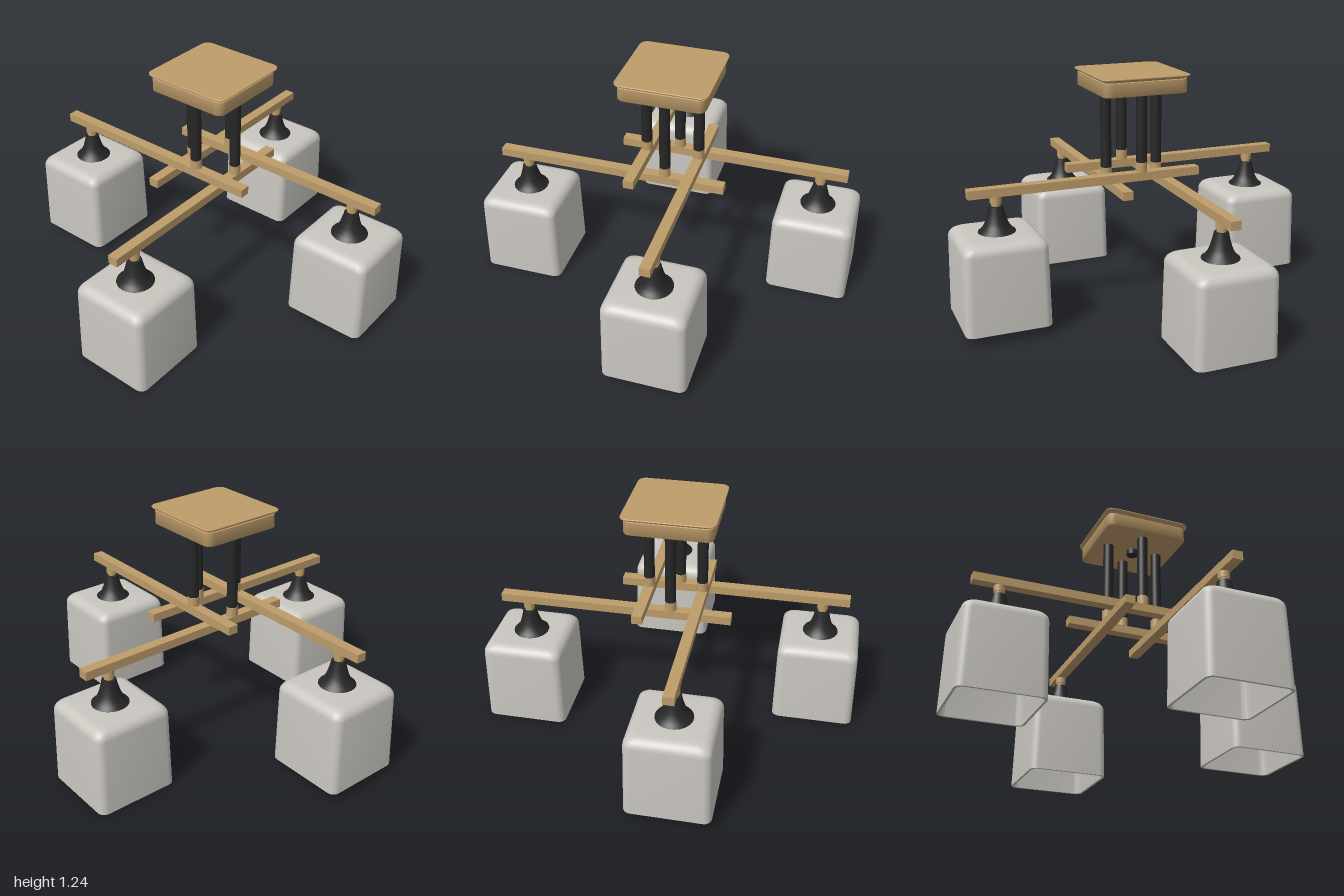
import * as THREE from 'three';
import { toCreasedNormals } from 'three/addons/utils/BufferGeometryUtils.js';

const mat = (name, color) => new THREE.MeshStandardMaterial({ name, color });

// Rounded-square loft; each section is [y, halfWidth, cornerRadius]
function loft(sections, crease = 0.6, steps = 6) {
  const pos = [], index = [], n = 4 * (steps + 1);
  for (const [y, half, r] of sections) {
    for (let corner = 0; corner < 4; corner++) {
      const mid = (corner + 0.5) * Math.PI / 2;
      const cx = Math.sign(Math.cos(mid)) * (half - r);
      const cz = Math.sign(Math.sin(mid)) * (half - r);
      for (let s = 0; s <= steps; s++) {
        const a = (corner + s / steps) * Math.PI / 2;
        pos.push(cx + r * Math.cos(a), y, cz + r * Math.sin(a));
      }
    }
  }
  for (let i = 0; i < sections.length - 1; i++) {
    for (let j = 0; j < n; j++) {
      const a = i * n + j, b = i * n + (j + 1) % n;
      index.push(a, a + n, b, b, a + n, b + n);
    }
  }
  const g = new THREE.BufferGeometry();
  g.setAttribute('position', new THREE.Float32BufferAttribute(pos, 3));
  g.setIndex(index);
  return toCreasedNormals(g, crease);
}

export function createModel() {
  const brass = mat('brass', 0xbd9c6a);
  const black = mat('black', 0x262626);
  const glass = mat('frosted glass', 0xc9c6c0);
  const model = new THREE.Group();
  model.name = 'ceilingLight';

  const add = (parent, name, geometry, material, x = 0, y = 0, z = 0) => {
    const m = new THREE.Mesh(geometry, material);
    m.name = name;
    m.position.set(x, y, z);
    parent.add(m);
    return m;
  };
  const tube = (r, y0, y1) => new THREE.CylinderGeometry(r, r, y1 - y0, 32).translate(0, (y0 + y1) / 2, 0);

  // Ceiling canopy with a flared lip
  add(model, 'canopy', loft([
    [1.146, 0.001, 0.0005], [1.146, 0.226, 0.038], [1.149, 0.228, 0.04], [1.217, 0.228, 0.04],
    [1.22, 0.222, 0.036], [1.226, 0.232, 0.04], [1.234, 0.241, 0.042], [1.238, 0.241, 0.042],
    [1.24, 0.239, 0.04], [1.24, 0.001, 0.0005],
  ]), brass);
  add(model, 'canopyKnob', tube(0.031, 1.118, 1.15), black);

  // Shade: inner wall from the top down, rim, outer wall back up
  const shadeSections = [[0.443, 0.001, 0.0005], [0.443, 0.14, 0.03]];
  for (let i = 0; i <= 6; i++) {
    const a = i / 6 * Math.PI / 2;
    shadeSections.push([0.398 + 0.045 * Math.cos(a), 0.155 + 0.045 * Math.sin(a), 0.035]);
  }
  shadeSections.push([0, 0.207, 0.035], [0, 0.2195, 0.04]);
  for (let i = 0; i <= 8; i++) {
    const a = i / 8 * Math.PI / 2;
    shadeSections.push([0.403 + 0.055 * Math.sin(a), 0.157 + 0.056 * Math.cos(a), 0.044]);
  }
  shadeSections.push([0.458, 0.001, 0.0005]);
  const shadeGeometry = loft(shadeSections);

  // Trumpet-shaped holder above each shade
  const holderGeometry = new THREE.LatheGeometry([
    [0.095, 0.455], [0.094, 0.46], [0.08, 0.471], [0.066, 0.489], [0.055, 0.513],
    [0.046, 0.543], [0.039, 0.57], [0.036, 0.588], [0.034, 0.591], [0.001, 0.591],
  ].map(([r, y]) => new THREE.Vector2(r, y)), 40);

  // Four arms in a pinwheel, alternating in height
  for (let i = 0; i < 4; i++) {
    const arm = new THREE.Group();
    arm.name = 'arm' + (i + 1);
    arm.rotation.y = i * Math.PI / 2;
    const lift = i % 2 ? 0 : 0.048;
    const x = 0.143, z = 0.778;
    add(arm, 'bar', new THREE.BoxGeometry(0.055, 0.045, 1.24), brass, x, 0.663 + lift, 0.3);
    add(arm, 'rod', tube(0.0285, 0.73 + lift, 1.15), black, x);
    add(arm, 'rodCup', tube(0.0305, 0.685 + lift, 0.736 + lift), brass, x);

    const lamp = new THREE.Group();
    lamp.name = 'lamp';
    lamp.position.set(x, lift, z);
    add(lamp, 'neckCollar', tube(0.029, 0.605, 0.642), brass);
    add(lamp, 'neck', tube(0.024, 0.588, 0.606), brass);
    add(lamp, 'holder', holderGeometry, black);
    add(lamp, 'shade', shadeGeometry, glass);
    arm.add(lamp);
    model.add(arm);
  }
  return model;
}
